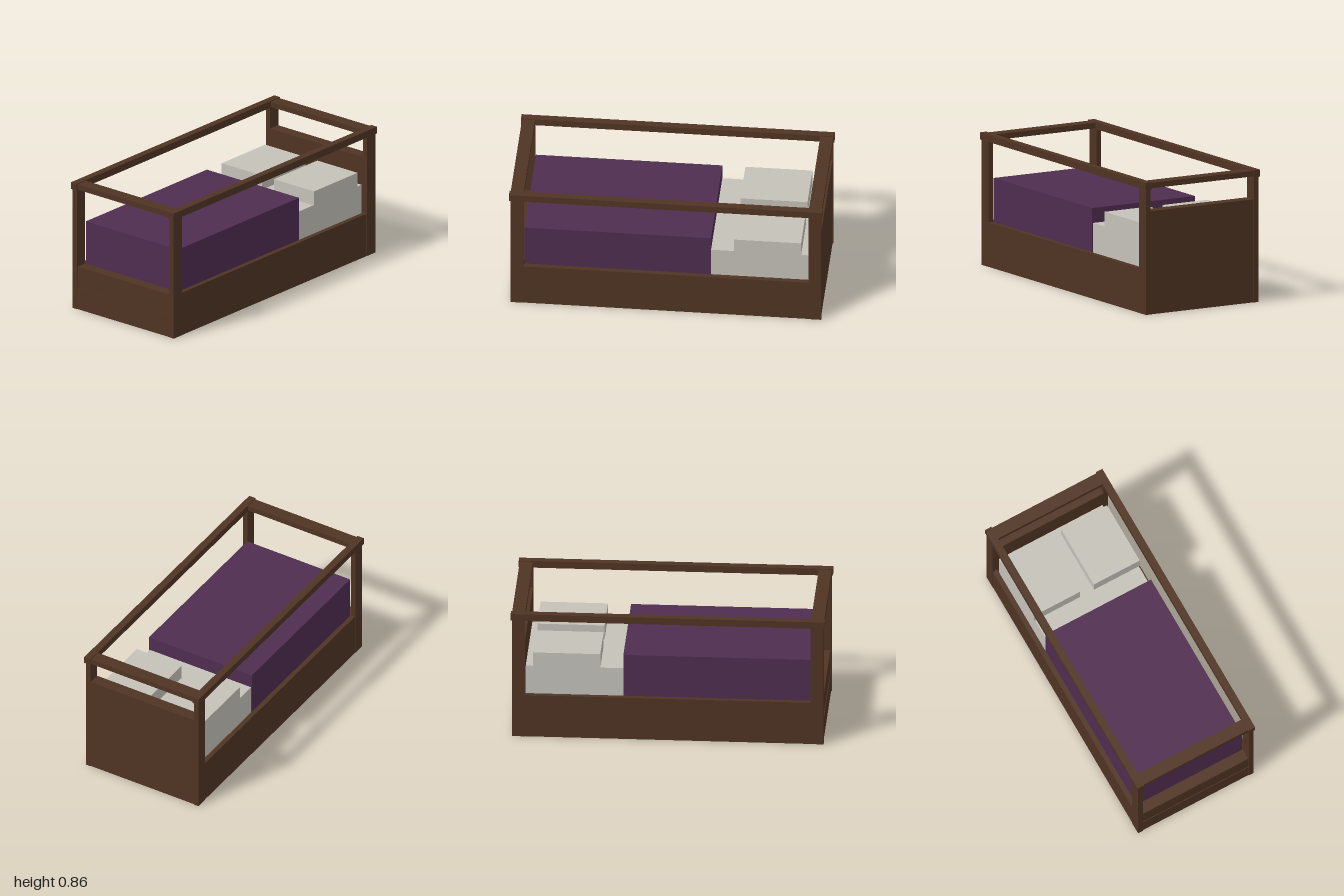
import * as THREE from 'three';

export function createModel() {
  const model = new THREE.Group();
  model.name = 'canopyBed';
  const material = (name, color) => {
    const m = new THREE.MeshStandardMaterial({ color });
    m.name = name;
    return m;
  };
  const wood = material('dark wood', 0x4f3423);
  const purple = material('purple blanket', 0x4f2d50);
  const linen = material('pale linen', 0xc4c1b9);

  // Box given by its extents along each axis
  const box = (name, mat, [x0, x1], [y0, y1], [z0, z1]) => {
    const mesh = new THREE.Mesh(new THREE.BoxGeometry(x1 - x0, y1 - y0, z1 - z0), mat);
    mesh.position.set((x0 + x1) / 2, (y0 + y1) / 2, (z0 + z1) / 2);
    mesh.name = name;
    model.add(mesh);
  };
  // Extent mirrored to the negative side when s is -1
  const side = (s, a, b) => (s > 0 ? [a, b] : [-b, -a]);

  for (const sx of [1, -1]) {
    const label = sx > 0 ? 'left' : 'right';
    // Corner posts
    for (const sz of [1, -1]) {
      box(label + (sz > 0 ? 'FrontPost' : 'BackPost'), wood,
        side(sx, 0.386, 0.42), [0, 0.83], side(sz, 0.91, 0.992));
    }
    // Long panels and canopy rails
    box(label + 'SidePanel', wood, side(sx, 0.386, 0.418), [0, 0.288], [-0.91, 0.91]);
    box(label + 'CanopyRail', wood, side(sx, 0.38, 0.427), [0.811, 0.857], [-1, 1]);
    // Pillows
    box(label + 'Pillow', linen, side(sx, 0.05, 0.384), [0.476, 0.573], [-0.86, -0.432]);
  }

  // Canopy cross rails
  for (const sz of [1, -1]) {
    box(sz > 0 ? 'frontCanopyRail' : 'backCanopyRail', wood,
      [-0.38, 0.38], [0.816, 0.852], side(sz, 0.91, 0.993));
  }

  // Base, footboard and headboard
  box('base', wood, [-0.386, 0.386], [0, 0.145], [-0.91, 0.988]);
  box('footboard', wood, [-0.386, 0.386], [0.145, 0.288], [0.91, 0.984]);
  box('headboard', wood, [-0.386, 0.386], [0, 0.667], [-0.988, -0.91]);

  // Bedding
  box('mattress', linen, [-0.377, 0.377], [0.145, 0.476], [-0.907, 0.9]);
  box('blanket', purple, [-0.384, 0.384], [0.2, 0.573], [-0.285, 0.905]);

  return model;
}
